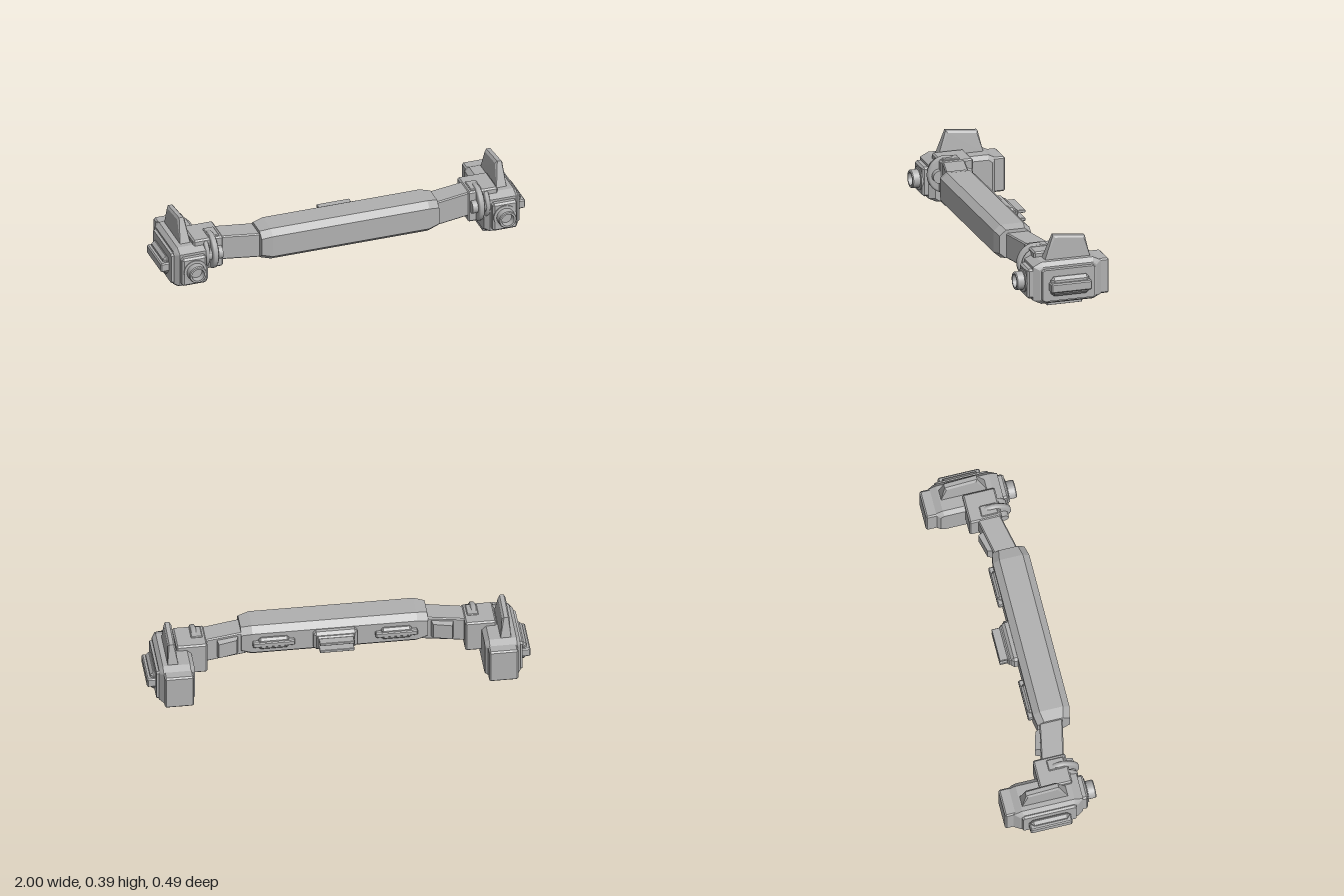
import * as THREE from 'three';
import { ConvexGeometry } from 'three/addons/geometries/ConvexGeometry.js';

const grey = new THREE.MeshStandardMaterial({ color: 0xb0b0b0 });
grey.name = 'matte grey';

function add(group, name, geometry) {
  const mesh = new THREE.Mesh(geometry, grey);
  mesh.name = name;
  group.add(mesh);
  return mesh;
}

// Faceted solid from corner points; s mirrors it across x.
function hull(group, name, points, s = 1) {
  return add(group, name, new ConvexGeometry(points.map(([x, y, z]) => new THREE.Vector3(s * x, y, z))));
}

// Box with every edge chamfered by b.
function block(group, name, [x0, x1], [y0, y1], [z0, z1], b = 0.006, s = 1) {
  const pts = [];
  for (const [x, i] of [[x0, b], [x1, -b]])
    for (const [y, j] of [[y0, b], [y1, -b]])
      for (const [z, k] of [[z0, b], [z1, -b]])
        pts.push([x, y + j, z + k], [x + i, y, z + k], [x + i, y + j, z]);
  return hull(group, name, pts, s);
}

// Octagonal outline with corner cuts, as [u, v] pairs.
const octagon = (u0, u1, v0, v1, cu, cv) => [
  [u0 + cu, v0], [u1 - cu, v0], [u1, v0 + cv], [u1, v1 - cv],
  [u1 - cu, v1], [u0 + cu, v1], [u0, v1 - cv], [u0, v0 + cv],
];

// Central bar with tapered ends and accessories on its back.
function buildBar() {
  const bar = new THREE.Group();
  bar.name = 'centralBar';
  const big = octagon(0.025, 0.22, 0.13, 0.308, 0.035, 0.03);
  const small = octagon(0.035, 0.207, 0.142, 0.296, 0.035, 0.03);
  const pts = [];
  for (const s of [-1, 1]) {
    for (const [z, y] of big) pts.push([s * 0.43, y, z]);
    for (const [z, y] of small) pts.push([s * 0.487, y, z]);
  }
  hull(bar, 'barBody', pts);
  block(bar, 'rearMountBase', [-0.115, 0.115], [0.165, 0.275], [-0.01, 0.04], 0.015);
  block(bar, 'rearMountPlate', [-0.1, 0.1], [0.18, 0.26], [-0.025, 0.01], 0.008);
  for (const y of [0.19, 0.235])
    block(bar, 'rearMountRail', [-0.09, 0.09], [y, y + 0.016], [-0.067, -0.02], 0.002);
  for (const s of [-1, 1]) {
    block(bar, 'rearPadBase', [0.24, 0.4], [0.185, 0.255], [0.005, 0.04], 0.012, s);
    block(bar, 'rearPadStrip', [0.21, 0.43], [0.205, 0.235], [0, 0.035], 0.005, s);
  }
  return bar;
}

// Angled arm and hinge joining the bar to a pod.
function buildArm(s) {
  const arm = new THREE.Group();
  arm.name = s > 0 ? 'leftArm' : 'rightArm';
  const section = (x, z0, z1) => octagon(z0, z1, 0.14, 0.278, 0.006, 0.006).map(([z, y]) => [x, y, z]);
  hull(arm, 'armBeam', [...section(0.46, 0.05, 0.175), ...section(0.69, 0.005, 0.125)], s);
  const plate = [];
  for (const [x, z] of [[0.5, 0.035], [0.62, 0.01]])
    for (const y of [0.155, 0.265]) {
      const cx = x < 0.55 ? 0.012 : -0.012, cy = y < 0.2 ? 0.012 : -0.012;
      plate.push([x, y, z + 0.02], [x + cx, y + cy, z - 0.018]);
    }
  hull(arm, 'armPlate', plate, s);
  block(arm, 'hingeBlock', [0.672, 0.835], [0.105, 0.283], [-0.038, 0.135], 0.008, s);
  block(arm, 'hingeTopPlate', [0.69, 0.75], [0.27, 0.289], [0.03, 0.12], 0.004, s);

  // Rounded lugs at the front of the hinge.
  for (const [x, r, w] of [[0.73, 0.1, 0.033], [0.769, 0.085, 0.026]]) {
    const profile = [[0, -w / 2], [r - 0.01, -w / 2], [r, -w / 4], [r, w / 4], [r - 0.01, w / 2], [0, w / 2]];
    const lug = add(arm, 'hingeLug', new THREE.LatheGeometry(profile.map((p) => new THREE.Vector2(...p)), 32));
    lug.rotation.z = Math.PI / 2;
    lug.position.set(s * x, 0.197, 0.095);
  }
  const pin = add(arm, 'hingePin', new THREE.CylinderGeometry(0.035, 0.035, 0.11, 20));
  pin.rotation.z = Math.PI / 2;
  pin.position.set(s * 0.74, 0.197, 0.14);
  return arm;
}

// End pod with lens, fin, side handle and underside rail.
function buildPod(s) {
  const pod = new THREE.Group();
  pod.name = s > 0 ? 'leftPod' : 'rightPod';
  const outer = octagon(-0.2, 0.17, 0.03, 0.257, 0.045, 0.022);
  const inner = octagon(-0.17, 0.14, 0.042, 0.235, 0.02, 0.015);
  hull(pod, 'podBody', [
    ...inner.map(([z, y]) => [0.757, y, z]),
    ...outer.map(([z, y]) => [0.78, y, z]),
    ...outer.map(([z, y]) => [0.922, y, z]),
    ...inner.map(([z, y]) => [0.942, y, z]),
  ], s);
  const panel = octagon(-0.163, 0.133, 0.045, 0.226, 0.01, 0.01);
  const panelFace = octagon(-0.157, 0.127, 0.051, 0.22, 0.01, 0.01);
  hull(pod, 'sidePanel', [...panel.map(([z, y]) => [0.935, y, z]), ...panelFace.map(([z, y]) => [0.955, y, z])], s);
  block(pod, 'rearBox', [0.77, 0.922], [0.05, 0.24], [-0.245, -0.17], 0.008, s);
  block(pod, 'frontPlate', [0.785, 0.92], [0.062, 0.222], [0.14, 0.2], 0.01, s);

  // Hollow lens barrel with a collar.
  const lensProfile = [[0.062, 0], [0.062, 0.012], [0.048, 0.014], [0.048, 0.05],
    [0.044, 0.055], [0.034, 0.055], [0.03, 0.025], [0, 0.025]];
  const points = lensProfile.flatMap((p) => [new THREE.Vector2(...p), new THREE.Vector2(...p)]);
  const lens = add(pod, 'lensBarrel', new THREE.LatheGeometry(points, 36));
  lens.rotation.x = Math.PI / 2;
  lens.position.set(s * 0.85, 0.145, 0.193);

  // Tapered fin on top.
  hull(pod, 'fin', [
    ...[[0.098, 0.25], [-0.15, 0.25]].flatMap(([z, y]) => [[0.84, y, z], [0.896, y, z]]),
    ...[[0.04, 0.372], [-0.117, 0.357]].flatMap(([z, y]) => [[0.852, y, z], [0.892, y, z]]),
    ...[[0.049, 0.386], [-0.124, 0.368]].flatMap(([z, y]) => [[0.862, y, z], [0.884, y, z]]),
  ], s);

  block(pod, 'handleBase', [0.945, 0.982], [0.08, 0.185], [-0.12, 0.087], 0.016, s);
  block(pod, 'handleGrip', [0.95, 1], [0.106, 0.156], [-0.128, 0.095], 0.006, s);

  // Ladder-shaped rail underneath.
  for (const x of [0.772, 0.866])
    block(pod, 'undersideRail', [x, x + 0.014], [0.003, 0.04], [-0.11, 0.077], 0.001, s);
  for (let i = 0; i < 5; i++) {
    const z = -0.11 + i * 0.043;
    block(pod, 'undersideRung', [0.78, 0.872], [i === 4 ? 0 : 0.005, 0.04], [z, z + 0.015], 0.001, s);
  }
  return pod;
}

export function createModel() {
  const model = new THREE.Group();
  model.name = 'sensorBar';
  model.add(buildBar());
  for (const s of [-1, 1]) model.add(buildArm(s), buildPod(s));
  return model;
}
